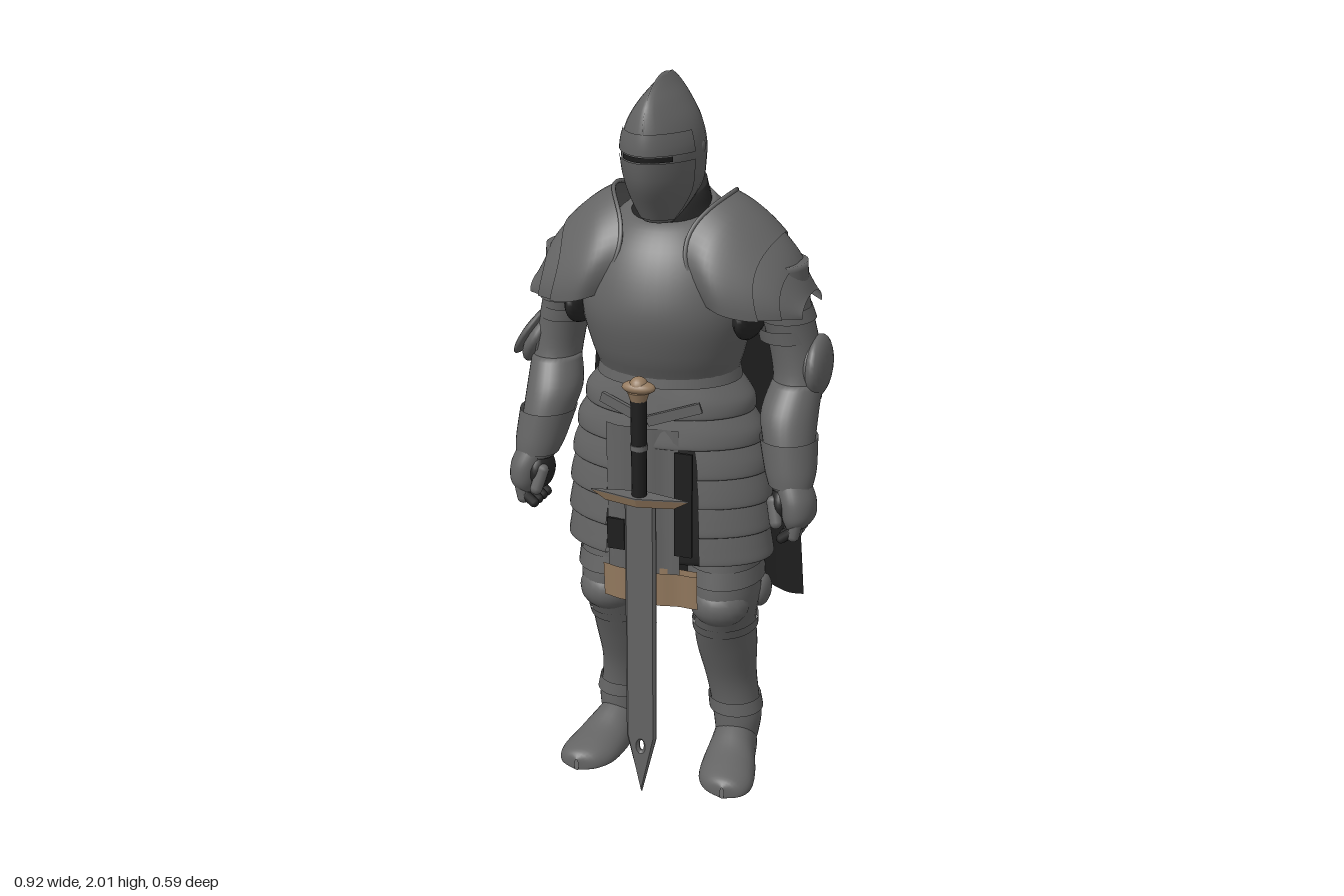
import * as THREE from 'three';
import { mergeVertices } from 'three/addons/utils/BufferGeometryUtils.js';

const mat = (name, color) => new THREE.MeshStandardMaterial({ name, color, side: THREE.DoubleSide });
const steel = mat('steel', 0x646464);
const black = mat('blackCloth', 0x1e1e1e);
const mail = mat('darkMail', 0x262626);
const tan = mat('tanLeather', 0x947a5f);

// Smooth interpolation through rows of numbers, v from 0 to 1
function sample(rows, v) {
  const n = rows.length - 1, f = Math.min(v * n, n - 1e-6), i = Math.floor(f), t = f - i;
  const [a, b, c, d] = [rows[Math.max(i - 1, 0)], rows[i], rows[i + 1], rows[Math.min(i + 2, n)]];
  return b.map((q, k) => 0.5 * (2 * q + (c[k] - a[k]) * t + (2 * a[k] - 5 * q + 4 * c[k] - d[k]) * t * t
    + (3 * q - a[k] - 3 * c[k] + d[k]) * t * t * t));
}

// Grid surface from a rule (u, v) -> [x, y, z]
function surface(fn, nu, nv) {
  const pos = [], idx = [];
  for (let j = 0; j <= nv; j++) for (let i = 0; i <= nu; i++) pos.push(...fn(i / nu, j / nv));
  for (let j = 0; j < nv; j++) for (let i = 0; i < nu; i++) {
    const a = j * (nu + 1) + i, b = a + 1, c = a + nu + 1, d = c + 1;
    idx.push(a, c, b, b, c, d);
  }
  const g = new THREE.BufferGeometry();
  g.setAttribute('position', new THREE.Float32BufferAttribute(pos, 3));
  g.setIndex(idx);
  const m = mergeVertices(g, 1e-5);
  m.computeVertexNormals();
  return m;
}

// Horizontal rings from top to bottom: [y, centre x, half width, front z, back z]
// pinch makes the rings almond shaped, tilt lowers the front of the top edge
function loft(rows, { a0 = 0, a1 = Math.PI * 2, cap = true, grow = 0, s = 1, pinch = 0, tilt = 0, nu = 32, nv = rows.length * 4 } = {}) {
  return surface((u, v) => {
    const w = cap ? Math.min(Math.max((v * nv - 1) / (nv - 2), 0), 1) : v;
    const [y, cx, rx, zf, zb] = sample(rows, w);
    const k = cap && (v < 1e-6 || v > 1 - 1e-6) ? 0 : 1;
    const a = a0 + (a1 - a0) * u, cz = (zf + zb) / 2, c = Math.cos(a);
    return [cx * s + k * (rx + grow) * Math.sin(a) * (1 - pinch * c * c),
      y - k * tilt * c * (1 - w) ** 4, cz + k * ((zf - zb) / 2 + grow) * c];
  }, nu, nv);
}

function add(parent, name, geo, material, p = [0, 0, 0], scale = [1, 1, 1], r = [0, 0, 0]) {
  const m = new THREE.Mesh(geo, material);
  m.name = name;
  m.position.set(...p); m.scale.set(...scale); m.rotation.set(...r);
  parent.add(m);
}
const ball = new THREE.SphereGeometry(1, 20, 14);

function buildHelmet(g) {
  const pinch = 0.2;
  const rows = [[2.0, 0, 0.004, 0.09, 0.0], [1.975, 0, 0.025, 0.15, -0.045], [1.94, 0, 0.055, 0.195, -0.075],
    [1.89, 0, 0.088, 0.217, -0.092], [1.83, 0, 0.106, 0.226, -0.098], [1.77, 0, 0.104, 0.218, -0.098],
    [1.72, 0, 0.095, 0.198, -0.085], [1.67, 0, 0.07, 0.165, 0.0], [1.63, 0, 0.04, 0.14, 0.075]];
  add(g, 'helmet', loft(rows, { pinch }), steel);
  const part = (name, i0, i1, grow, a, m) => add(g, name, loft(
    [0, 1, 2, 3, 4].map(k => sample(rows, (i0 + (i1 - i0) * k / 4) / 8)),
    { a0: -a, a1: a, cap: false, grow, pinch, nv: 8 }), m);
  part('brow', 3.3, 4.2, 0.004, 1.25, steel);
  part('visor', 4.5, 7.7, 0.004, 1.25, steel);
  part('eyeSlit', 4.24, 4.46, 0.003, 0.75, black);
  // Pointed crest down the middle of the skull
  add(g, 'crest', surface((u, v) => {
    const a = -1.6 + 3.2 * v, k = (u - 0.5) * 2;
    return [k * 0.014, 1.855 + (0.15 - Math.abs(k) * 0.025) * Math.cos(a), 0.062 - (0.164 - Math.abs(k) * 0.02) * Math.sin(a)];
  }, 4, 28), steel);
  for (const s of [-1, 1]) {
    add(g, 'visorPivot', ball, steel, [s * 0.1, 1.82, 0.06], [0.01, 0.018, 0.018]);
    for (let i = 0; i < 4; i++) add(g, 'breathHole', ball, black,
      [s * (0.026 + 0.012 * (i % 2)), 1.73 - 0.022 * Math.floor(i / 2), 0.187 - 0.01 * (i % 2) - 0.014 * Math.floor(i / 2)], [0.004, 0.004, 0.004]);
  }
  add(g, 'mailCollar', loft([[1.705, 0, 0.088, 0.09, -0.107], [1.68, 0, 0.097, 0.1, -0.115],
    [1.65, 0, 0.105, 0.11, -0.12], [1.62, 0, 0.12, 0.11, -0.12]], { tilt: 0.03 }), mail);
}

function buildTorso(g) {
  add(g, 'cuirass', loft([[1.66, 0, 0.105, 0.09, -0.125], [1.63, 0, 0.15, 0.13, -0.148], [1.56, 0, 0.205, 0.18, -0.17],
    [1.47, 0, 0.235, 0.215, -0.172], [1.38, 0, 0.235, 0.228, -0.165], [1.28, 0, 0.212, 0.205, -0.15],
    [1.2, 0, 0.19, 0.17, -0.135], [1.14, 0, 0.2, 0.17, -0.135]], { nu: 48, tilt: 0.03 }), steel);
  add(g, 'belt', loft([[1.225, 0, 0.19, 0.172, -0.137], [1.195, 0, 0.196, 0.176, -0.139]], { cap: false, grow: 0.006 }), steel);
  add(g, 'mailSkirt', loft([[1.15, 0, 0.19, 0.15, -0.13], [0.95, 0, 0.25, 0.15, -0.14], [0.7, 0, 0.27, 0.145, -0.14],
    [0.67, 0, 0.24, 0.12, -0.13]], { nu: 40 }), mail);
  // Overlapping hip plates; the lower ones leave a gap in front
  const half = [0.2, 0.235, 0.262, 0.278, 0.287, 0.292, 0.295];
  for (let i = 0; i < 6; i++) {
    const y = 1.2 - i * 0.084, gap = i < 2 ? 0 : 0.47;
    add(g, 'hipPlate', loft([[y, 0, half[i] - 0.006, 0.17, -0.142], [y - 0.05, 0, half[i + 1], 0.177, -0.149],
      [y - 0.088, 0, half[i + 1] + 0.005, 0.181, -0.153], [y - 0.09, 0, half[i + 1] - 0.006, 0.172, -0.145]],
      { a0: gap, a1: Math.PI * 2 - gap, cap: false, nu: 48 }), steel);
  }
  for (const s of [-1, 1]) add(g, 'waistStrap', new THREE.BoxGeometry(0.15, 0.028, 0.012), steel,
    [s * 0.07, 1.13, 0.182], [1, 1, 1], [0, s * 0.2, s * 0.3]);
  // Hanging cloth in front and behind
  const hang = (y0, y1, z0, z1, w) => surface((u, v) => {
    const k = u * 2 - 1;
    return [k * w, y0 + (y1 - y0) * v, z0 + (z1 - z0) * v - 0.012 * k * k + 0.004 * Math.sin(k * 8)];
  }, 16, 8);
  add(g, 'frontPanel', hang(1.08, 0.64, 0.182, 0.172, 0.105), steel, [-0.025, 0, 0]);
  for (const [x, y, h] of [[-0.1, 0.76, 0.09], [0.095, 0.87, 0.3]])
    add(g, 'panelEdge', new THREE.BoxGeometry(0.05, h, 0.008), black, [x, y, 0.176]);
  add(g, 'frontHem', hang(0.665, 0.565, 0.188, 0.182, 0.138), tan, [-0.002, 0, 0]);
  add(g, 'frontHemLining', hang(0.67, 0.57, 0.165, 0.165, 0.13), tan, [-0.002, 0, 0]);
  add(g, 'rearFlap', hang(0.85, 0.56, -0.158, -0.195, 0.13), tan);
}

function buildArm(g, s) {
  // Shoulder plates: [x, top y, side y, half depth]
  const rows = [[0.165, 1.685, 1.475, 0.185], [0.215, 1.655, 1.455, 0.205], [0.275, 1.605, 1.435, 0.185],
    [0.335, 1.535, 1.42, 0.145], [0.383, 1.44, 1.4, 0.095]];
  const shoulder = (w, t, o) => {
    const [x, top, base, rz] = sample(rows, w), q = Math.sin(t);
    return [s * (x - 0.075 * Math.sin(t * 1.45) ** 2 * (1 - w)), base + (top - base + o) * Math.cos(t), -0.02 + (rz + o) * q];
  };
  [[0, 0.6, 0.008], [0.54, 0.8, 0.003], [0.74, 1, -0.003]].forEach(([w0, w1, o]) =>
    add(g, 'shoulderPlate', surface((u, v) => shoulder(w0 + (w1 - w0) * v, (u - 0.5) * 3.5, o + 0.003 * v), 32, 14), steel));
  add(g, 'shoulderRim', new THREE.TubeGeometry(new THREE.CatmullRomCurve3([...Array(19)].map((_, i) =>
    new THREE.Vector3(...shoulder(0, (i / 18 - 0.5) * 3.5, 0.008)))), 40, 0.006, 6), steel);
  add(g, 'armpitMail', ball, mail, [s * 0.235, 1.39, 0.04], [0.035, 0.07, 0.125]);
  add(g, 'upperArm', loft([[1.52, 0.29, 0.075, 0.07, -0.11], [1.42, 0.302, 0.07, 0.065, -0.11],
    [1.32, 0.327, 0.067, 0.05, -0.115], [1.22, 0.348, 0.068, 0.05, -0.11], [1.15, 0.35, 0.066, 0.07, -0.09]], { s }), steel);
  for (const y of [1.4, 1.345]) add(g, 'armBand', loft([[y, 0.307, 0.071, 0.066, -0.114],
    [y - 0.035, 0.316, 0.074, 0.062, -0.12]], { s, cap: false }), steel);
  add(g, 'forearm', loft([[1.2, 0.35, 0.068, 0.055, -0.095], [1.12, 0.34, 0.077, 0.105, -0.07],
    [1.04, 0.35, 0.069, 0.13, -0.025], [0.98, 0.36, 0.062, 0.138, 0.01], [0.93, 0.368, 0.05, 0.145, 0.04]], { s }), steel);
  // Elbow guard, the right one flares further out
  const wide = s < 0;
  add(g, 'elbowGuard', ball, steel, [s * 0.4, 1.235, -0.04], [0.034, 0.085, 0.092], [0, 0, wide ? -0.5 : 0]);
  add(g, 'elbowRib', new THREE.TorusGeometry(0.074, 0.008, 6, 28), steel, [s * 0.385, 1.235, -0.04], [1, 1, 1], [0, Math.PI / 2, 0]);
  if (wide) add(g, 'elbowFan', ball, steel, [-0.422, 1.255, -0.03], [0.018, 0.09, 0.085], [0, 0, -0.6]);
  // Gauntlet
  add(g, 'cuff', loft([[1.06, 0.348, 0.074, 0.135, -0.035], [0.98, 0.362, 0.066, 0.145, 0.005],
    [0.94, 0.368, 0.056, 0.147, 0.035]], { s, cap: false, grow: 0.004 }), steel);
  add(g, 'hand', loft([[0.96, 0.37, 0.045, 0.145, 0.045], [0.91, 0.388, 0.05, 0.164, 0.035],
    [0.86, 0.395, 0.045, 0.166, 0.03], [0.83, 0.39, 0.03, 0.15, 0.04]], { s }), steel);
  add(g, 'palm', ball, mail, [s * 0.352, 0.89, 0.1], [0.034, 0.055, 0.058]);
  for (let i = 0; i < 4; i++) {
    const z = 0.052 + i * 0.03;
    add(g, 'finger', new THREE.CapsuleGeometry(0.017, 0.045, 4, 10), steel, [s * 0.397, 0.835, z], [1, 1, 1], [0, 0, -s * 0.2]);
    add(g, 'fingertip', new THREE.CapsuleGeometry(0.014, 0.03, 4, 10), mail, [s * 0.372, 0.81, z], [1, 1, 1], [0, 0, -s * 0.9]);
  }
  add(g, 'thumb', new THREE.CapsuleGeometry(0.018, 0.055, 4, 10), steel, [s * 0.34, 0.875, 0.145], [1, 1, 1], [-0.3, 0, s * 0.25]);
}

function buildLeg(g, s) {
  add(g, 'leg', loft([[0.8, 0.155, 0.11, 0.11, -0.12], [0.66, 0.16, 0.102, 0.125, -0.13], [0.55, 0.165, 0.094, 0.135, -0.12],
    [0.46, 0.157, 0.086, 0.1, -0.125], [0.37, 0.155, 0.086, 0.06, -0.138], [0.27, 0.16, 0.075, 0.02, -0.143],
    [0.19, 0.17, 0.071, 0.002, -0.145], [0.12, 0.18, 0.07, 0.0, -0.146], [0.05, 0.18, 0.06, 0.0, -0.142]], { s }), steel);
  add(g, 'thighBand', loft([[0.66, 0.16, 0.102, 0.125, -0.13], [0.61, 0.163, 0.104, 0.134, -0.13]], { s, cap: false, grow: 0.004 }), steel);
  add(g, 'kneeGuard', ball, steel, [s * 0.165, 0.545, 0.065], [0.085, 0.07, 0.08]);
  add(g, 'kneeWing', ball, steel, [s * 0.25, 0.54, -0.06], [0.025, 0.045, 0.055]);
  add(g, 'shinRim', loft([[0.47, 0.158, 0.088, 0.104, -0.125], [0.44, 0.156, 0.088, 0.09, -0.128]], { s, cap: false, grow: 0.004 }), steel);
  add(g, 'ankleBand', loft([[0.19, 0.17, 0.073, 0.004, -0.146], [0.15, 0.176, 0.075, 0.006, -0.147]], { s, cap: false, grow: 0.004 }), steel);
  // Boot, flat underneath: [z, centre x, half width, height]
  const rows = [[-0.143, 0.17, 0.005, 0.06], [-0.13, 0.17, 0.046, 0.1], [-0.07, 0.178, 0.064, 0.13], [0.0, 0.188, 0.07, 0.115],
    [0.07, 0.2, 0.08, 0.085], [0.14, 0.212, 0.08, 0.066], [0.185, 0.22, 0.055, 0.052], [0.203, 0.222, 0.006, 0.035]];
  add(g, 'boot', surface((u, v) => {
    const [z, x, rx, h] = sample(rows, v), a = u * Math.PI * 2, q = Math.sin(a);
    return [s * x + rx * Math.cos(a), q > 0 ? h * (0.25 + 0.75 * q) : h * 0.25 * (1 - Math.sqrt(-q)), z];
  }, 28, 28), steel);
  add(g, 'heel', new THREE.CylinderGeometry(0.058, 0.06, 0.02, 20), steel, [s * 0.175, 0.01, -0.08]);
}

function buildSword(g) {
  const shape = new THREE.Shape([[-0.037, 0.9], [-0.037, 0.19], [0, 0.02], [0.037, 0.19], [0.037, 0.9]].map(p => new THREE.Vector2(...p)));
  shape.holes.push(new THREE.Path().absellipse(0, 0.16, 0.014, 0.024, 0, Math.PI * 2));
  add(g, 'blade', new THREE.ExtrudeGeometry(shape, { depth: 0.004, bevelThickness: 0.008, bevelSize: 0.007, bevelSegments: 1, curveSegments: 8 }), steel, [0, 0, -0.01]);
  // Diamond guard with a thin steel plate on top
  const diamond = (r, h) => {
    const geo = new THREE.CylinderGeometry(1, r, h, 4).toNonIndexed();
    geo.computeVertexNormals();
    return geo;
  };
  add(g, 'guard', diamond(0.7, 0.024), tan, [0, 0.908, 0], [0.138, 1, 0.032]);
  add(g, 'guardPlate', diamond(1, 0.003), steel, [0, 0.9215, 0], [0.138, 1, 0.032]);
  add(g, 'grip', new THREE.CylinderGeometry(0.022, 0.02, 0.27, 16), black, [0, 1.055, 0]);
  add(g, 'gripRing', new THREE.CylinderGeometry(0.024, 0.024, 0.015, 16), steel, [0, 1.06, 0]);
  add(g, 'pommelNeck', new THREE.CylinderGeometry(0.03, 0.02, 0.03, 12), tan, [0, 1.198, 0]);
  add(g, 'pommel', ball, tan, [0, 1.225, 0], [0.046, 0.018, 0.028]);
  add(g, 'pommelKnob', ball, tan, [0, 1.228, 0], [0.026, 0.026, 0.026]);
}

export function createModel() {
  const root = new THREE.Group();
  root.name = 'armouredKnight';
  const body = new THREE.Group();
  body.name = 'body';
  body.position.x = 0.017;
  root.add(body);
  buildHelmet(body);
  buildTorso(body);
  for (const s of [-1, 1]) { buildArm(body, s); buildLeg(body, s); }

  const sword = new THREE.Group();
  sword.name = 'sword';
  sword.position.set(0.019, 0, 0.264);
  root.add(sword);
  buildSword(sword);

  // Cape with hanging folds, hollow at the neck, its right edge lower and further forward
  add(root, 'cape', surface((u, v) => {
    const k = u * 2 - 1, top = 1.5 + 0.06 * k * k, bottom = 0.442 - 0.012 * k + 0.006 * Math.sin(k * 9);
    const z = -0.172 - 0.118 * v + (0.005 + 0.065 * v * v) * k * k + 0.024 * k * v + (0.002 + 0.004 * v) * Math.sin(k * 14 + v);
    return [-k * (0.22 + 0.12 * Math.pow(v, 0.6)), top + (bottom - top) * v, z];
  }, 60, 24), black);
  return root;
}
